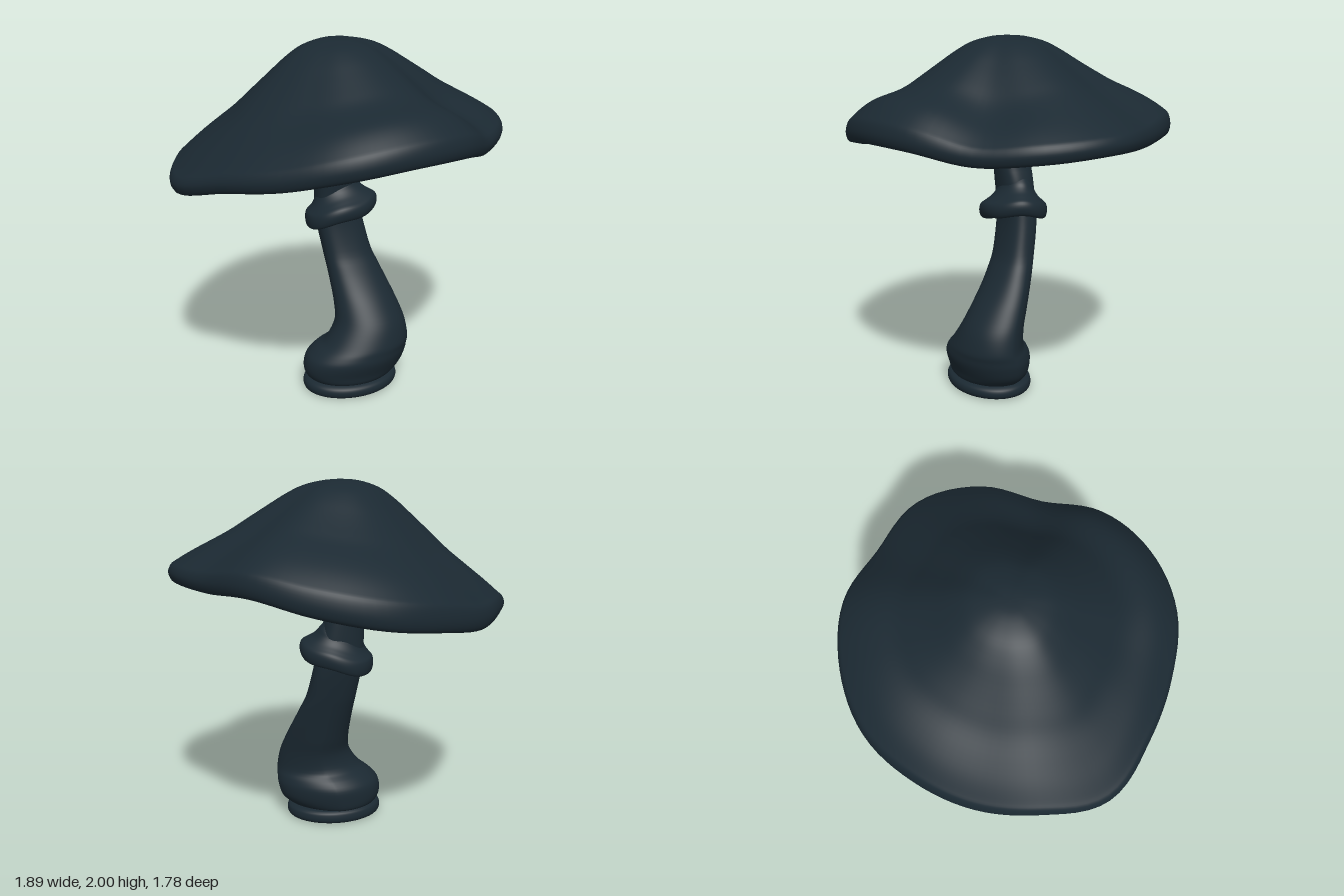
import * as THREE from 'three';

const SEG = 96;

// Catmull-Rom sampling of rows of numbers; t runs 0..1, closed wraps around
function sample(rows, t, closed = false) {
  const n = rows.length, span = closed ? n : n - 1;
  const u = Math.min(Math.max(t, 0), 1) * span;
  const i = closed ? Math.floor(u) : Math.min(Math.floor(u), n - 2);
  const f = u - i;
  const at = k => rows[closed ? (k + n) % n : Math.min(Math.max(k, 0), n - 1)];
  return rows[0].map((_, c) => {
    const a = at(i - 1)[c], b = at(i)[c], d = at(i + 1)[c], e = at(i + 2)[c];
    return b + 0.5 * f * (d - a + f * (2 * a - 5 * b + 4 * d - e + f * (3 * (b - d) + e - a)));
  });
}

// Smooth skin over closed rings; point(t, angle) returns [x, y, z]
function loft(steps, point) {
  const pos = [], idx = [];
  for (let j = 0; j <= steps; j++)
    for (let i = 0; i < SEG; i++) pos.push(...point(j / steps, (i / SEG) * Math.PI * 2));
  for (let j = 0; j < steps; j++)
    for (let i = 0; i < SEG; i++) {
      const a = j * SEG + i, b = j * SEG + (i + 1) % SEG;
      idx.push(a, a + SEG, b, b, a + SEG, b + SEG);
    }
  const g = new THREE.BufferGeometry();
  g.setAttribute('position', new THREE.Float32BufferAttribute(pos, 3));
  g.setIndex(idx);
  g.computeVertexNormals();
  return g;
}

// Rim of the cap every 22.5 degrees from +x towards +z: radius, lower edge height
const RIM = [
  [0.945, 1.475], [0.925, 1.45], [0.85, 1.425], [0.88, 1.48],
  [0.89, 1.485], [0.89, 1.44], [0.86, 1.37], [0.875, 1.32],
  [0.945, 1.25], [0.89, 1.28], [0.865, 1.26], [0.865, 1.3],
  [0.89, 1.345], [0.89, 1.41], [0.89, 1.48], [0.87, 1.465],
];

// Cap section from inner lip to apex: radius share, height share, lip offset
const CAP = [
  [0.945, 0, 0.035], [0.955, 0, 0.01], [0.972, 0, 0], [0.99, 0, 0.015], [1, 0, 0.05],
  [0.985, 0, 0.085], [0.95, 0.02, 0.1], [0.87, 0.12, 0.1], [0.76, 0.25, 0.1],
  [0.64, 0.395, 0.1], [0.54, 0.535, 0.1], [0.43, 0.685, 0.1], [0.32, 0.83, 0.1],
  [0.22, 0.932, 0.1], [0.1, 0.99, 0.1], [0, 1, 0.1],
];

// Underside section from stem to lip: radius share, height share
const GILLS = [[0, 1], [0.15, 0.93], [0.35, 0.75], [0.55, 0.5], [0.75, 0.25], [0.89, 0.07], [0.95, 0]];

// Stem from bottom to top: height, min x, max x, min z, max z
const STEM = [
  [0.065, -0.18, 0.2, -0.03, 0.28], [0.078, -0.24, 0.265, -0.065, 0.34],
  [0.13, -0.268, 0.325, -0.077, 0.36], [0.2, -0.26, 0.348, -0.078, 0.385],
  [0.25, -0.215, 0.35, -0.05, 0.388], [0.3, -0.15, 0.347, -0.005, 0.382],
  [0.4, -0.085, 0.332, 0, 0.345], [0.5, -0.07, 0.305, -0.025, 0.28],
  [0.6, -0.07, 0.272, -0.048, 0.205], [0.7, -0.075, 0.235, -0.072, 0.14],
  [0.8, -0.085, 0.2, -0.095, 0.09], [1, -0.11, 0.16, -0.13, 0.045],
  [1.2, -0.115, 0.115, -0.135, 0.055], [1.3, -0.122, 0.085, -0.135, 0.06],
  [1.45, -0.15, 0.06, -0.135, 0.065], [1.62, -0.16, 0.05, -0.13, 0.065],
];

// Foot from bottom to top, same columns as the stem
const FOOT = [
  [0, 0.01, 0.01, 0.145, 0.145], [0, -0.2, 0.22, -0.03, 0.29], [0.004, -0.252, 0.27, -0.065, 0.345],
  [0.022, -0.268, 0.293, -0.08, 0.364], [0.05, -0.268, 0.295, -0.08, 0.366],
  [0.07, -0.25, 0.28, -0.07, 0.35], [0.08, -0.2, 0.23, -0.03, 0.3], [0.08, 0.01, 0.01, 0.145, 0.145],
];

// Skirt section from underside to top: share of the way out from the stem, height offset
const SKIRT = [
  [-0.15, -0.01], [0.2, -0.025], [0.65, -0.042], [0.9, -0.036], [1, 0],
  [0.92, 0.036], [0.65, 0.058], [0.35, 0.08], [0.12, 0.105], [-0.03, 0.13], [-0.3, 0.16],
];

function ellipsePoint([y, x0, x1, z0, z1], a, k = 1) {
  return [(x0 + x1) / 2 + k * Math.cos(a) * (x1 - x0) / 2, y, (z0 + z1) / 2 + k * Math.sin(a) * (z1 - z0) / 2];
}

function stemPoint(t, a) {
  const row = sample(STEM, t);
  const up = THREE.MathUtils.smoothstep(row[0], 0.45, 0.95);
  // Slightly squared shaft; the bulb is flattened at its back left corner
  const corner = Math.cos(a) > 0 ? Math.max(0, -Math.sin(2 * a)) : 0;
  return ellipsePoint(row, a, 1 + 0.08 * up * Math.sin(2 * a) ** 2 - 0.1 * (1 - up) * corner);
}

function capPoint(t, a) {
  const [r, rim] = sample(RIM, a / (Math.PI * 2), true);
  const [s, h, lip] = sample(CAP, t);
  const x = Math.cos(a) * r * s, z = Math.sin(a) * r * s;
  // Fuller shoulder at the front and back, hollow above the drooping front corner
  const upper = THREE.MathUtils.smoothstep(lip, 0.02, 0.1);
  const side = Math.sin(a);
  const [height, width] = side > 0 ? [0.05, 0.16] : [0.065, 0.27];
  const plump = height * upper * Math.abs(side) ** 1.5 * Math.exp(-(((s - 0.86) / width) ** 2));
  const dent = 0.035 * upper * Math.exp(-((x - 0.5) ** 2 + (z - 0.42) ** 2) / 0.04);
  return [x, rim + lip + h * (1.9 - rim) + plump - dent, z];
}

function gillPoint(t, a) {
  const [r, rim] = sample(RIM, a / (Math.PI * 2), true);
  const [s, h] = sample(GILLS, t);
  // Gentle arch with soft radial folds that fade at the stem and the lip
  const fold = Math.sin(Math.PI * t) * (0.05 + 0.008 * Math.sin(a * 7 + 1) + 0.004 * Math.sin(a * 13));
  return [Math.cos(a) * r * s, rim + 0.025 + h * (1.435 - rim) + fold, Math.sin(a) * r * s];
}

function skirtPoint(t, a) {
  const [s, dy] = sample(SKIRT, t);
  const wave = 1 + 0.02 * Math.sin(a * 3 + 1);
  const ox = 0.21 * Math.cos(a) * wave, oz = 0.185 * Math.sin(a) * wave;
  // Runs from the stem surface out to a tilted oval edge
  const x = THREE.MathUtils.lerp(0.01 + 0.125 * Math.cos(a), 0.03 + ox, s);
  const z = THREE.MathUtils.lerp(-0.041 + 0.093 * Math.sin(a), -0.02 + oz, s);
  return [x, 1.02 + dy + 0.2 * ox + 0.13 * oz + 0.008 * s * Math.sin(a * 4), z];
}

export function createModel() {
  const slate = new THREE.MeshStandardMaterial({ color: 0x1b2932 });
  slate.name = 'dark slate';
  const grey = new THREE.MeshStandardMaterial({ color: 0x989898 });
  grey.name = 'gill grey';

  const group = new THREE.Group();
  group.name = 'mushroom';
  const add = (name, geometry, material) => {
    const mesh = new THREE.Mesh(geometry, material);
    mesh.name = name;
    group.add(mesh);
  };

  add('cap', loft(60, capPoint), slate);
  add('gills', loft(30, gillPoint), grey);
  add('stem', loft(60, stemPoint), slate);
  add('skirt', loft(40, skirtPoint), slate);
  add('foot', loft(28, (t, a) => ellipsePoint(sample(FOOT, t), a)), slate);
  return group;
}
